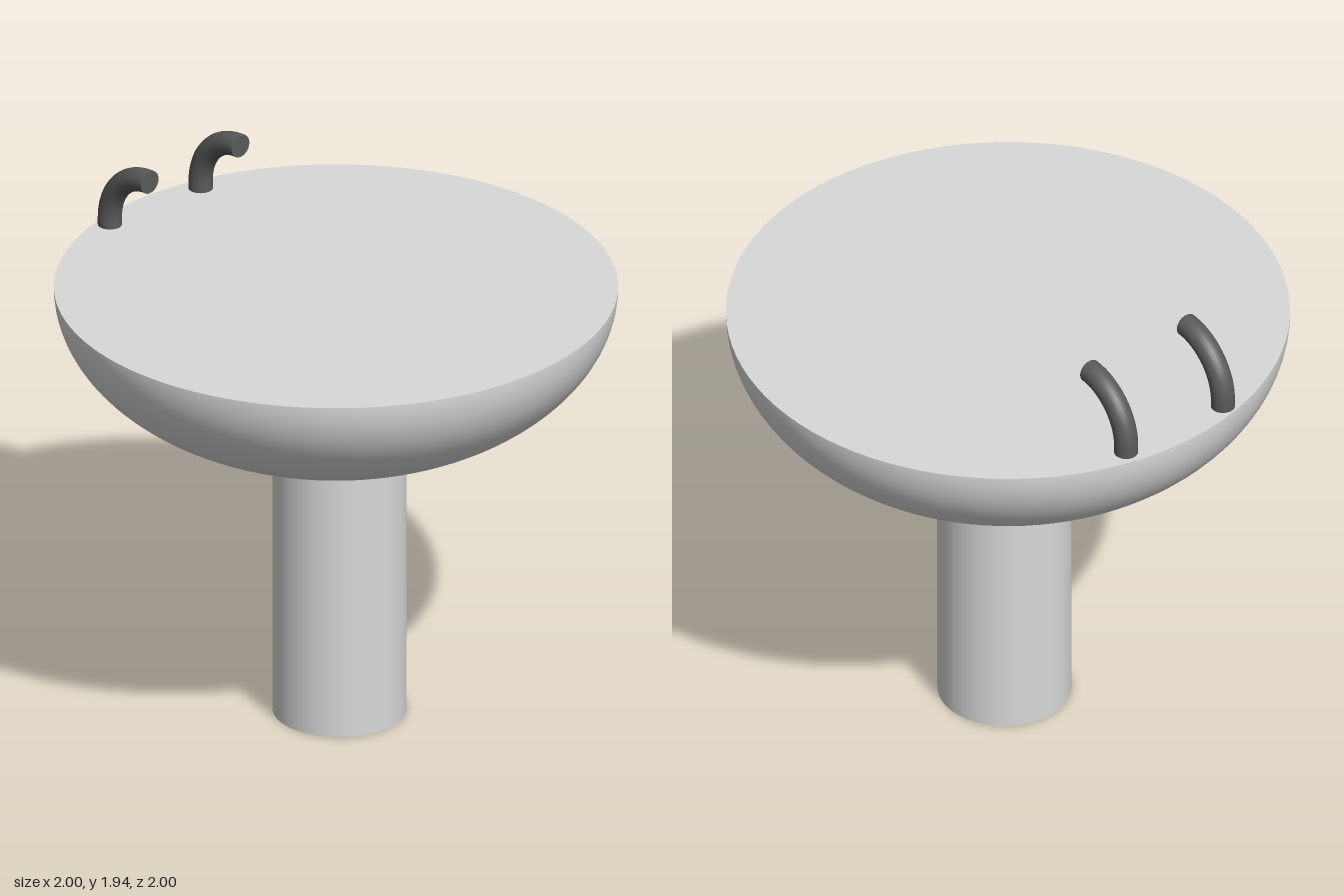
import * as THREE from 'three';

const RIM_Y = 1.658;

// Quarter-circle spout rising from a short straight neck
class SpoutCurve extends THREE.Curve {
  getPoint(t, target = new THREE.Vector3()) {
    const a = t * Math.PI / 2;
    return target.set(0, 1.688 + 0.208 * Math.sin(a), -0.709 - 0.208 * Math.cos(a));
  }
}

export function createModel() {
  const model = new THREE.Group();
  const ceramic = new THREE.MeshStandardMaterial({ color: 0xd9d9d9 });
  ceramic.name = 'ceramic';
  const metal = new THREE.MeshStandardMaterial({ color: 0x5a5a5a });
  metal.name = 'dark metal';

  const add = (parent, name, geometry, material, x = 0, y = 0, z = 0) => {
    const mesh = new THREE.Mesh(geometry, material);
    mesh.name = name;
    mesh.position.set(x, y, z);
    parent.add(mesh);
    return mesh;
  };

  // Basin: flattened lower hemisphere closed by a flat top
  const bowl = new THREE.SphereGeometry(1, 96, 32, 0, Math.PI * 2, Math.PI / 2, Math.PI / 2);
  bowl.scale(1, 0.595, 1);
  add(model, 'basinBowl', bowl, ceramic, 0, RIM_Y, 0);
  const top = new THREE.CircleGeometry(1, 96);
  top.rotateX(-Math.PI / 2);
  add(model, 'basinTop', top, ceramic, 0, RIM_Y, 0);

  // Pedestal
  add(model, 'pedestal', new THREE.CylinderGeometry(0.238, 0.238, 1.085, 64), ceramic, 0.01, 0.5425, 0.008);

  // Pair of curved taps at the back of the rim
  const r = 0.043;
  for (const [name, x] of [['rightTap', -0.243], ['leftTap', 0.195]]) {
    const tap = new THREE.Group();
    tap.name = name;
    tap.position.x = x;
    add(tap, 'neck', new THREE.CylinderGeometry(r, r, 0.04, 24, 1, true), metal, 0, 1.668, -0.917);
    add(tap, 'spout', new THREE.TubeGeometry(new SpoutCurve(), 24, r, 24), metal);
    add(tap, 'spoutEnd', new THREE.CircleGeometry(r, 24), metal, 0, 1.896, -0.709);
    model.add(tap);
  }
  return model;
}
